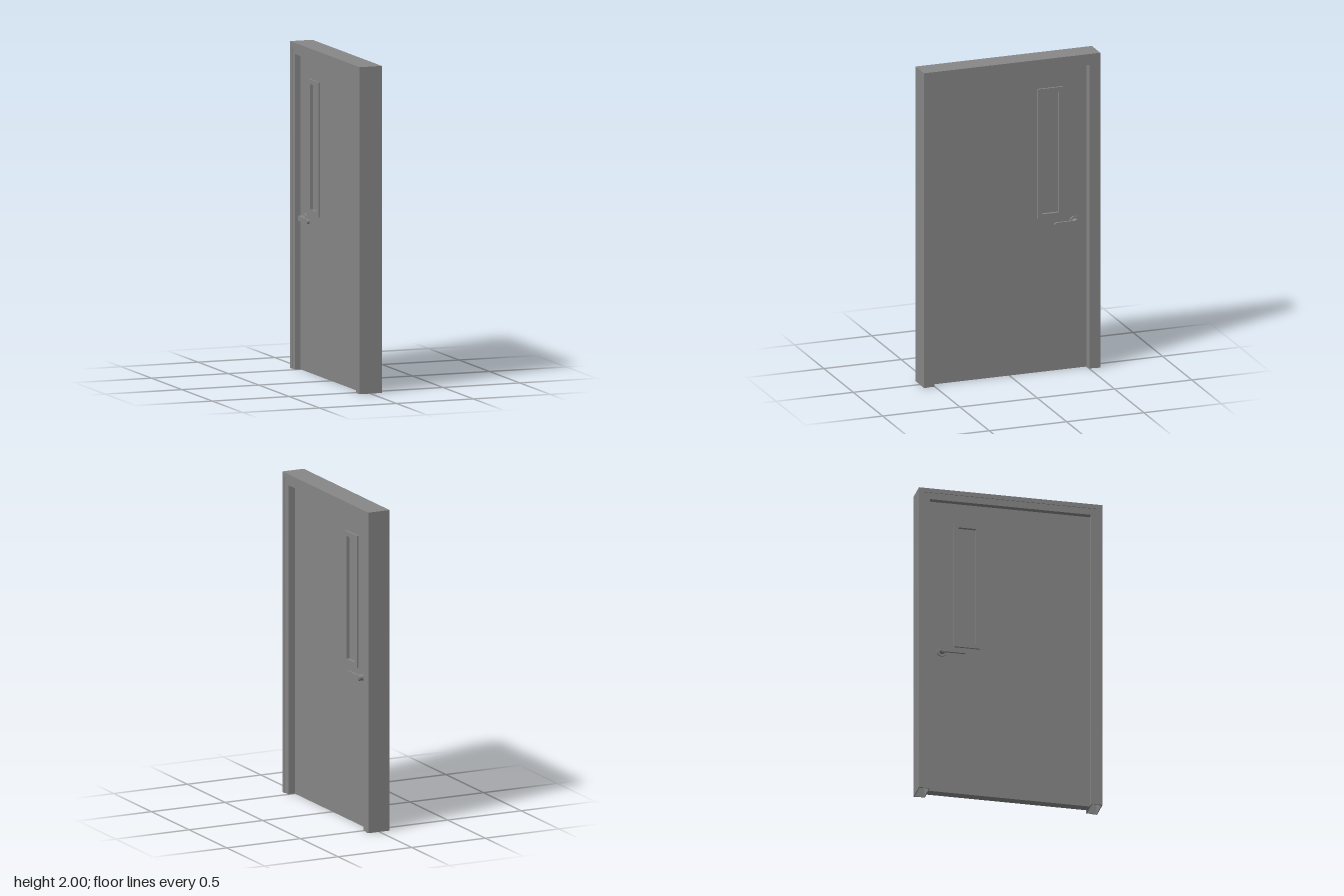
import * as THREE from 'three';

const H = 2, HALF_W = 0.57, FACE = 0.07;
const FRAME = { back: -0.066, front: 0.0705 };         // frame faces along x
const BAND = { width: 0.028, proud: 0.004 };           // raised outer edge of the frame
const LEAF = { back: -0.03, front: 0.026 };            // door leaf faces along x
const WIN = { z0: -0.345, z1: -0.18, y0: 0.975, y1: 1.8, trim: 0.029 };
const HANDLE = { y: 0.935, z: -0.42, tip: -0.29, r: 0.015, reach: 0.0445 };

const mat = new THREE.MeshStandardMaterial({ color: 0x878787 });

function add(parent, name, geometry) {
  const mesh = new THREE.Mesh(geometry, mat);
  mesh.name = name;
  parent.add(mesh);
  return mesh;
}

// Closed outline through the given points, as a Shape or a hole Path
function outline(Type, points) {
  const p = new Type(points.map(([x, y]) => new THREE.Vector2(x, y)));
  p.closePath();
  return p;
}
const rect = (Type, x0, y0, x1, y1) => outline(Type, [[x0, y0], [x1, y0], [x1, y1], [x0, y1]]);
const rectZ = (Type, z0, y0, z1, y1) => rect(Type, -z1, y0, -z0, y1);

// Extrudes a shape drawn in (-z, y) so that it spans x0..x1
function slab(shape, x0, x1) {
  const g = new THREE.ExtrudeGeometry(shape, { depth: x1 - x0, bevelEnabled: false, curveSegments: 16 });
  return g.rotateY(Math.PI / 2).translate(x0, 0, 0);
}

// Hollow jamb, open at the foot
function jambGeometry(depth) {
  const a = depth / 2, b = FACE / 2, t = 0.005;
  const section = rect(THREE.Shape, -a, -b, a, b);
  section.holes.push(rect(THREE.Path, -a + t, -b + t, a - t, b - t));
  const g = new THREE.ExtrudeGeometry(section, { depth: H - FACE, bevelEnabled: false });
  return g.rotateX(-Math.PI / 2);
}

function createFrame() {
  const frame = new THREE.Group();
  frame.name = 'frame';
  const depth = FRAME.front - FRAME.back, mid = (FRAME.front + FRAME.back) / 2;
  for (const s of [1, -1]) {
    add(frame, s > 0 ? 'frontJamb' : 'backJamb', jambGeometry(depth))
      .position.set(mid, 0, s * (HALF_W - FACE / 2));
  }
  add(frame, 'head', new THREE.BoxGeometry(depth, FACE, HALF_W * 2))
    .position.set(mid, H - FACE / 2, 0);

  // Raised band round the outer edge of each face
  const o = HALF_W, i = HALF_W - BAND.width, top = H - BAND.width;
  const band = outline(THREE.Shape,
    [[-o, 0], [-i, 0], [-i, top], [i, top], [i, 0], [o, 0], [o, H], [-o, H]]);
  add(frame, 'leftBand', slab(band, FRAME.front, FRAME.front + BAND.proud));
  add(frame, 'rightBand', slab(band, FRAME.back - BAND.proud, FRAME.back));
  return frame;
}

// Rose, post and flat lever with rounded ends, projecting along +x
function createHandle() {
  const g = new THREE.Group();
  const { r, reach, z, tip } = HANDLE;
  const disc = (name, radius, length) => {
    const geo = new THREE.CylinderGeometry(radius, radius, length, 32).rotateZ(Math.PI / 2);
    add(g, name, geo).position.set(length / 2, 0, z);
  };
  disc('handleRose', 0.032, 0.01);
  disc('handlePost', 0.019, reach - 0.003);

  const lever = new THREE.Shape();
  lever.absarc(-z, 0, r, -Math.PI / 2, Math.PI / 2);
  lever.absarc(-tip, 0, r, Math.PI / 2, Math.PI * 1.5);
  lever.closePath();
  add(g, 'handleLever', slab(lever, reach - 0.013, reach));
  return g;
}

export function createModel() {
  const model = new THREE.Group();
  model.name = 'door';
  model.add(createFrame());

  // Door leaf with an opening for the window
  const inner = [WIN.z0 + WIN.trim, WIN.y0 + WIN.trim, WIN.z1 - WIN.trim, WIN.y1 - WIN.trim];
  const leaf = rectZ(THREE.Shape, -0.5, 0, 0.5, H - FACE);
  leaf.holes.push(rectZ(THREE.Path, ...inner));
  add(model, 'doorLeaf', slab(leaf, LEAF.back, LEAF.front));

  // Window trim, standing proud on both faces, and the recessed pane
  const trim = rectZ(THREE.Shape, WIN.z0, WIN.y0, WIN.z1, WIN.y1);
  trim.holes.push(rectZ(THREE.Path, ...inner));
  add(model, 'windowTrim', slab(trim, LEAF.back - 0.012, LEAF.front + 0.012));
  add(model, 'windowPane', slab(rectZ(THREE.Shape, ...inner), LEAF.back + 0.007, LEAF.front - 0.007));

  // A lever handle on each face; the right one is turned to face -x
  const left = createHandle();
  left.name = 'leftHandle';
  left.position.set(LEAF.front, HANDLE.y, 0);
  const right = createHandle();
  right.name = 'rightHandle';
  right.position.set(LEAF.back, HANDLE.y, 0);
  right.scale.x = -1;
  model.add(left, right);
  return model;
}
